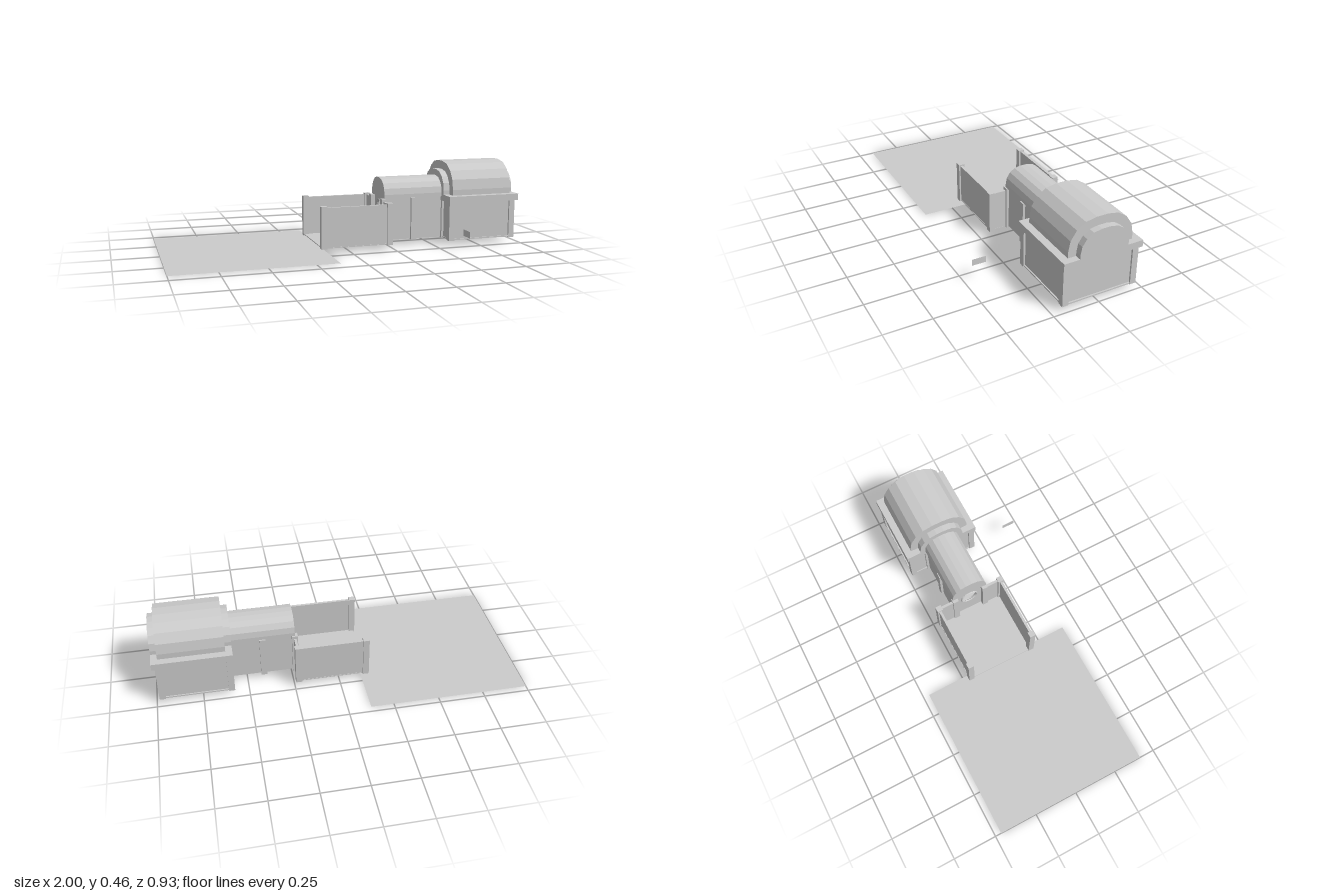
import * as THREE from 'three';

const AXIS_Z = -0.014; // centre line of the buildings

export function createModel() {
  const root = new THREE.Group();
  const material = new THREE.MeshStandardMaterial({ color: 0xcccccc, flatShading: true });
  const thin = new THREE.MeshStandardMaterial({ color: 0xcccccc, side: THREE.DoubleSide });

  const add = (name, geometry, parent, mat = material) => {
    const mesh = new THREE.Mesh(geometry, mat);
    mesh.name = name;
    parent.add(mesh);
    return mesh;
  };
  const group = (name) => {
    const g = new THREE.Group();
    g.name = name;
    g.position.z = AXIS_Z;
    root.add(g);
    return g;
  };
  // Box given by its limits on each axis
  const box = (name, parent, [x0, x1], [y0, y1], [z0, z1]) =>
    add(name, new THREE.BoxGeometry(x1 - x0, y1 - y0, z1 - z0), parent)
      .position.set((x0 + x1) / 2, (y0 + y1) / 2, (z0 + z1) / 2);
  const post = (name, parent, x, z, top) =>
    box(name, parent, [x - 0.0165, x + 0.0165], [0.025, top], [z - 0.0165, z + 0.0165]);

  // Barrel vault running along x, with a faceted arch profile
  const arch = [[1, 0], [1, 0.18], [0.94, 0.495], [0.76, 0.76], [0.5, 0.94], [0.17, 1]];
  const vault = (name, parent, x0, x1, y, r, h) => {
    const side = arch.map(([a, b]) => new THREE.Vector2(a * r, b * h));
    const mirrored = side.map((p) => new THREE.Vector2(-p.x, p.y)).reverse();
    const geometry = new THREE.ExtrudeGeometry(new THREE.Shape([...side, ...mirrored]),
      { depth: x1 - x0, bevelEnabled: false });
    geometry.rotateY(Math.PI / 2).translate(x0, y, 0);
    add(name, geometry, parent);
  };

  // Flat forecourt
  add('forecourt', new THREE.PlaneGeometry(0.875, 0.88).rotateX(-Math.PI / 2), root, thin)
    .position.set(-0.5625, 0, -0.025);

  // Small upright plate beside the hall
  add('signPlate', new THREE.PlaneGeometry(0.076, 0.035).rotateY(Math.PI / 2), root, thin)
    .position.set(0.575, 0.1125, 0.424);

  // Walled courtyard, open towards the forecourt
  const court = group('courtyard');
  box('courtFloor', court, [-0.16, 0.235], [0.028, 0.033], [-0.203, 0.203]);
  for (const s of [-1, 1]) {
    const span = (a, b) => [Math.min(s * a, s * b), Math.max(s * a, s * b)];
    box('courtWall', court, [-0.15, 0.23], [0.03, 0.25], span(0.187, 0.201));
    box('courtEndWall', court, [0.22, 0.234], [0.03, 0.25], span(0.085, 0.2));
    post('courtPost', court, -0.149, s * 0.193, 0.257);
    post('courtPost', court, 0.226, s * 0.193, 0.257);
  }

  // Vaulted corridor
  const corridor = group('corridor');
  box('corridorFloor', corridor, [0.23, 0.6], [0.028, 0.034], [-0.093, 0.093]);
  for (const s of [-1, 1]) {
    const z = s * 0.088;
    box('corridorWall', corridor, [0.23, 0.6], [0.03, 0.272], [z - 0.007, z + 0.007]);
    for (const x of [0.228, 0.406, 0.592]) post('corridorPost', corridor, x, s * 0.0925, 0.265);
  }
  vault('corridorVault', corridor, 0.228, 0.6, 0.268, 0.105, 0.108);

  // Round portal in the corridor's end wall
  const portal = new THREE.Shape([[-0.085, 0.03], [0.085, 0.03], [0.085, 0.27], [-0.085, 0.27]]
    .map(([x, y]) => new THREE.Vector2(x, y)));
  portal.holes.push(new THREE.Path().absarc(0, 0.2, 0.046, 0, Math.PI * 2, true));
  add('portalWall', new THREE.ExtrudeGeometry(portal, { depth: 0.01, bevelEnabled: false, curveSegments: 10 })
    .rotateY(Math.PI / 2).translate(0.236, 0, 0), corridor);
  add('portalRing', new THREE.TorusGeometry(0.048, 0.005, 4, 20).rotateY(Math.PI / 2), corridor)
    .position.set(0.235, 0.2, 0);

  // Main hall with cornice and stepped barrel roof
  const hall = group('hall');
  box('hallFloor', hall, [0.583, 0.982], [0.028, 0.035], [-0.206, 0.206]);
  box('hallWalls', hall, [0.588, 0.974], [0.032, 0.25], [-0.199, 0.199]);
  for (const x of [0.595, 0.967]) {
    for (const s of [-1, 1]) post('hallPost', hall, x, s * 0.193, 0.245);
  }
  box('cornice', hall, [0.574, 1], [0.242, 0.278], [-0.219, 0.219]);
  vault('roofVault', hall, 0.61, 0.965, 0.277, 0.179, 0.181);
  vault('roofEndStep', hall, 0.574, 1, 0.277, 0.134, 0.134);

  return root;
}
